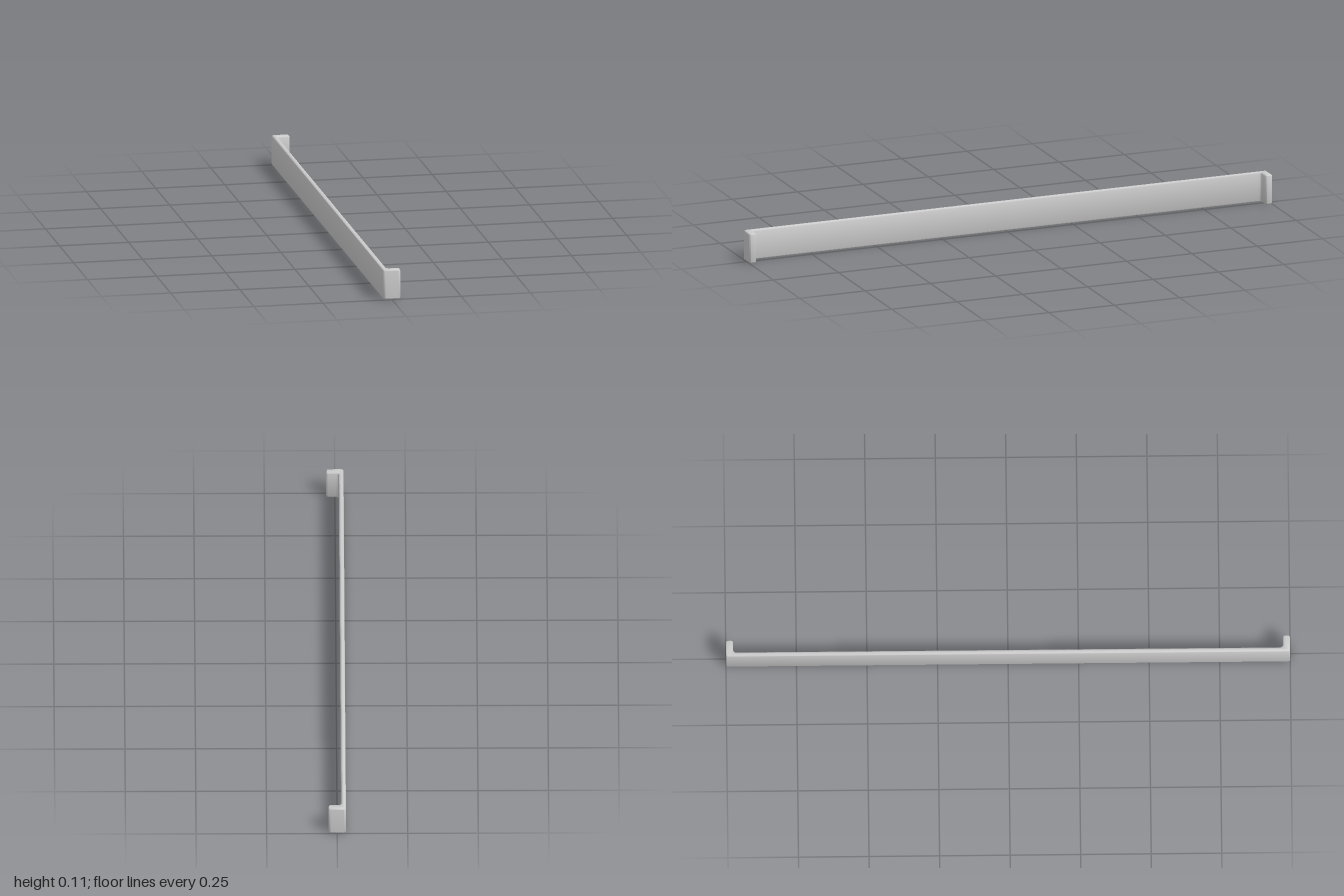
import * as THREE from 'three';
import { toCreasedNormals } from 'three/addons/utils/BufferGeometryUtils.js';

const HALF_WIDTH = 0.031, HALF_LENGTH = 1, HEIGHT = 0.11;
const PLATE = 0.017, FLANGE = 0.026, EDGE = 0.007;

// Closed outline whose corners [x, y, radius] are rounded by arcs.
function roundedOutline(corners) {
  const shape = new THREE.Shape();
  corners.forEach(([x, y, r], i) => {
    const c = new THREE.Vector2(x, y);
    const towards = (p) => new THREE.Vector2(p[0], p[1]).sub(c).normalize();
    const a = towards(corners.at(i - 1));
    const b = towards(corners[(i + 1) % corners.length]);
    const start = c.clone().addScaledVector(a, r);
    const centre = start.clone().addScaledVector(b, r);
    const from = start.clone().sub(centre).angle();
    const end = c.clone().addScaledVector(b, r).sub(centre).angle();
    // a x b tells a convex corner from a concave one
    shape.absarc(centre.x, centre.y, r, from, end, a.cross(b) > 0);
  });
  shape.closePath();
  return shape;
}

export function createModel() {
  const model = new THREE.Group();
  model.name = 'pullHandle';

  // Shallow C-shaped plan: long plate with a short return at each end
  const w = HALF_WIDTH, l = HALF_LENGTH, inner = l - FLANGE, face = -w + PLATE;
  const outline = roundedOutline([
    [-w, -l, 0.0075], [w, -l, 0.0075], [w, -inner, 0.0075], [face, -inner, 0.011],
    [face, inner, 0.011], [w, inner, 0.0075], [w, l, 0.0075], [-w, l, 0.0075],
  ]);

  // Raised to height with rounded top and bottom edges
  const geometry = new THREE.ExtrudeGeometry(outline, {
    depth: HEIGHT - 2 * EDGE,
    curveSegments: 6,
    bevelEnabled: true,
    bevelThickness: EDGE,
    bevelSize: EDGE,
    bevelOffset: -EDGE,
    bevelSegments: 5,
  });
  geometry.rotateX(-Math.PI / 2);
  geometry.translate(0, EDGE, 0);

  const bar = new THREE.Mesh(
    toCreasedNormals(geometry, 0.6),
    new THREE.MeshStandardMaterial({ color: 0xcccccc }),
  );
  bar.name = 'barWithEndReturns';
  model.add(bar);
  return model;
}
